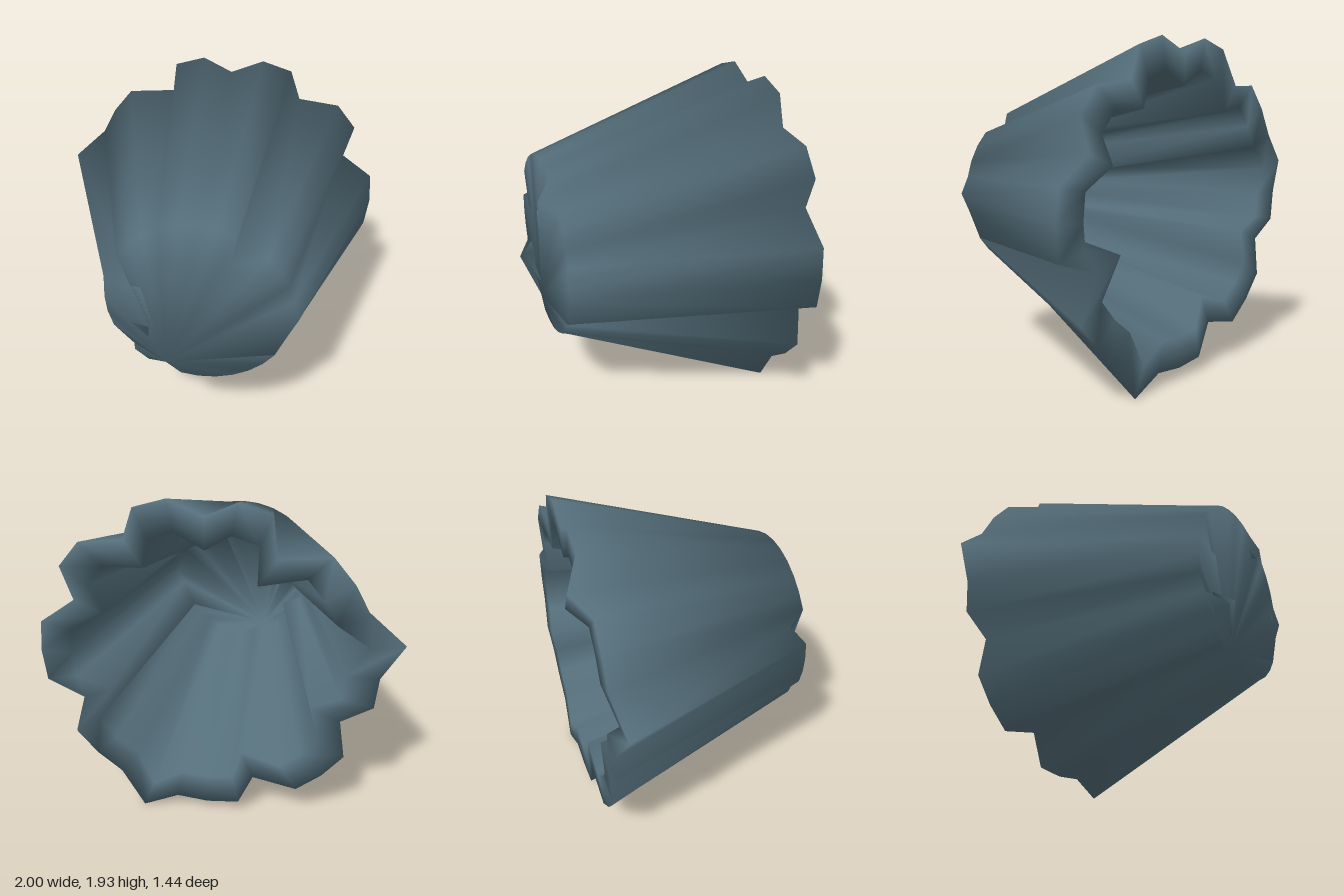
import * as THREE from 'three';

const N = 32, CX = 0.06, CY = 1.01;

// vertices moved off the regular 32-gon: index -> [dx, dy, dz]
const RIM_DENTS = {
  2: [-0.15, -0.03, 0], 5: [-0.1, -0.09, 0], 8: [-0.01, -0.1, 0],
  11: [0.13, -0.12, -0.07], 15: [-0.14, 0, 0.04], 18: [0.12, 0.07, 0],
  22: [0.09, 0.14, 0], 26: [0.03, -0.14, -0.01], 30: [-0.17, 0.1, -0.035],
};
const FRONT_DENTS = {
  0: [0.03, 0, 0.015], 5: [-0.11, -0.08, 0.065], 14: [0.17, -0.11, 0],
  19: [0.09, 0.05, 0.085], 22: [0.01, 0.04, 0], 30: [-0.05, -0.09, 0],
};

// one ring of vertices, counterclockwise seen from the front
function ring(radius, z, dents) {
  const pts = [];
  for (let k = 0; k < N; k++) {
    const a = (k / N) * Math.PI * 2;
    const [dx, dy, dz] = dents[k] || [0, 0, 0];
    pts.push(CX + radius * Math.cos(a) + dx, CY + radius * Math.sin(a) + dy, z + dz);
  }
  return pts;
}

// band of quads joining ring number a to ring number b
function strip(a, b) {
  const idx = [];
  for (let k = 0; k < N; k++) {
    const n = (k + 1) % N;
    idx.push(a * N + k, b * N + k, b * N + n, a * N + k, b * N + n, a * N + n);
  }
  return idx;
}

// flat end: triangles from one corner to all the others
function fan(row, start, flip) {
  const idx = [];
  for (let j = 1; j < N - 1; j++) {
    const p = row * N + ((start + j) % N), q = row * N + ((start + j + 1) % N);
    idx.push(row * N + start, flip ? q : p, flip ? p : q);
  }
  return idx;
}

export function createModel() {
  const group = new THREE.Group();
  group.name = 'crumpledBucket';
  const slate = new THREE.MeshStandardMaterial({ color: 0x546e7a });
  slate.name = 'slateBlue';

  // rings in order: outer front, outer rim, inner rim, inner floor
  const rings = [
    ring(0.53, 0.635, FRONT_DENTS), ring(0.94, -0.65, RIM_DENTS),
    ring(0.76, -0.65, RIM_DENTS), ring(0.43, 0.63, FRONT_DENTS),
  ];
  const walls = [...strip(0, 1), ...strip(2, 3)];
  const rim = strip(1, 2);
  const front = fan(0, 22, false);
  const floor = fan(3, 22, true);

  const g = new THREE.BufferGeometry();
  g.setAttribute('position', new THREE.Float32BufferAttribute(rings.flat(), 3));
  g.setIndex(walls);
  g.computeVertexNormals();

  // blend the wall normals of each ring with those of the ends and the rim
  const normal = g.attributes.normal;
  const lean = [1, -1, -0.5, -0.5];
  for (let i = 0; i < normal.count; i++) {
    normal.setZ(i, normal.getZ(i) + lean[Math.floor(i / N)]);
  }
  g.normalizeNormals();
  g.setIndex([...walls, ...rim, ...front, ...floor]);

  const bucket = new THREE.Mesh(g, slate);
  bucket.name = 'bucket';
  group.add(bucket);
  return group;
}
